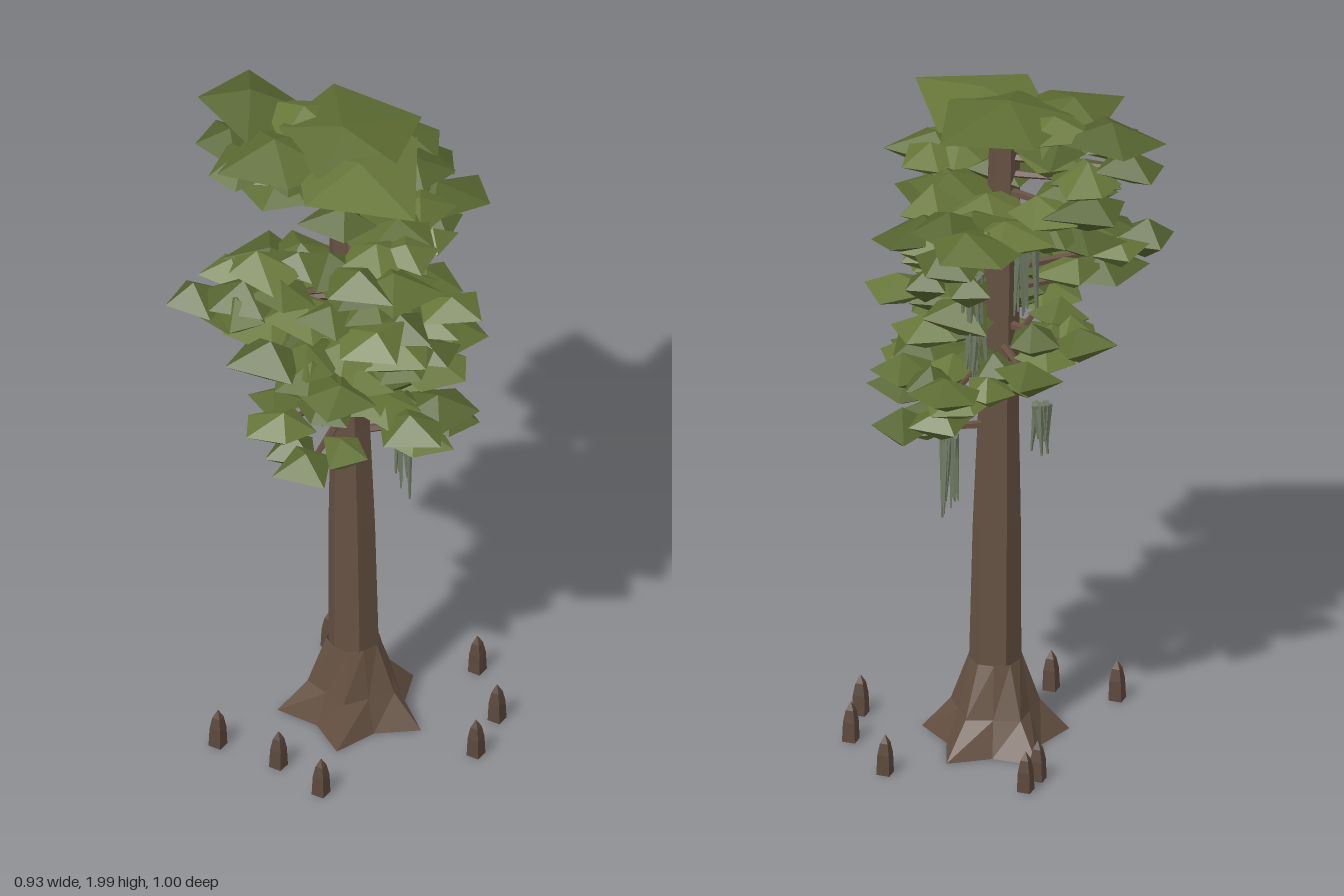
import * as THREE from 'three';

const mat = (color, extra = {}) => new THREE.MeshStandardMaterial({ color, flatShading: true, roughness: 1, ...extra });
const V = (x, y, z) => new THREE.Vector3(x, y, z);

// small seeded generator for leaf and moss irregularity
function seeded(seed) {
  let s = seed;
  return () => ((s = (s * 16807) % 2147483647) / 2147483647);
}

function meshData(pos, idx) {
  const g = new THREE.BufferGeometry();
  g.setAttribute('position', new THREE.Float32BufferAttribute(pos, 3));
  g.setIndex(idx);
  g.computeVertexNormals();
  return g;
}

// open skin over rings [centre x, y, centre z, radius, lobe depth]; alternate points form the buttress roots
function loft(rings, sides, turn) {
  const pos = [], idx = [];
  for (const [cx, y, cz, r, lobe] of rings)
    for (let i = 0; i < sides; i++) {
      const a = (i / sides) * Math.PI * 2 + turn;
      const rr = r * (i % 2 ? 1 - lobe : 1);
      pos.push(cx + Math.sin(a) * rr, y, cz + Math.cos(a) * rr);
    }
  for (let k = 0; k < rings.length - 1; k++)
    for (let i = 0; i < sides; i++) {
      const a = k * sides + i, b = k * sides + (i + 1) % sides;
      idx.push(a, b, b + sides, a, b + sides, a + sides);
    }
  return meshData(pos, idx);
}

// flattened, irregular bipyramid leaf pad
function padGeometry(r, rnd) {
  const n = rnd() > 0.45 ? 4 : 5, turn = rnd() * 6.28, h = 0.046 + rnd() * 0.014;
  const pos = [(rnd() - 0.5) * r * 0.3, h, (rnd() - 0.5) * r * 0.3, 0, -h, 0], idx = [];
  for (let i = 0; i < n; i++) {
    const a = turn + ((i + (rnd() - 0.5) * 0.4) / n) * Math.PI * 2, q = r * (0.9 + rnd() * 0.4);
    pos.push(Math.sin(a) * q, (rnd() - 0.5) * r * 0.18, Math.cos(a) * q);
    const u = 2 + i, v = 2 + (i + 1) % n;
    idx.push(0, u, v, 1, v, u);
  }
  return meshData(pos, idx);
}

// tapered rod between two points
function rod(a, b, r0, r1, sides, material) {
  const d = b.clone().sub(a);
  const m = new THREE.Mesh(new THREE.CylinderGeometry(r1, r0, d.length(), sides), material);
  m.position.copy(a).add(b).multiplyScalar(0.5);
  m.quaternion.setFromUnitVectors(V(0, 1, 0), d.normalize());
  return m;
}

export function createModel() {
  const model = new THREE.Group();
  const bark = mat(0x655142, { side: THREE.DoubleSide }), kneeBark = mat(0x5a473b);
  const leaf = [mat(0x5c6b32), mat(0x677639), mat(0x55632f)];
  const mossMat = mat(0x6f7963, { side: THREE.DoubleSide });
  const rnd = seeded(4217);
  const add = (mesh, name, parent = model) => { mesh.name = name; parent.add(mesh); return mesh; };

  // five-lobed root flare and six-sided trunk
  add(new THREE.Mesh(loft([
    [0.07, 0, -0.05, 0.215, 0.36], [0.068, 0.1, -0.047, 0.13, 0.2], [0.065, 0.25, -0.043, 0.076, 0.04],
  ], 10, Math.PI / 4), bark), 'rootFlare');
  add(new THREE.Mesh(loft([
    [0.065, 0.23, -0.043, 0.073, 0], [0.06, 0.66, -0.043, 0.067, 0], [0.056, 1.0, -0.045, 0.057, 0],
    [0.046, 1.45, -0.048, 0.049, 0], [0.039, 1.9, -0.052, 0.042, 0],
  ], 6, 0), bark), 'trunk');

  // upright root knees around the base
  const kneeShape = [[0, 0], [0.027, 0], [0.024, 0.06], [0.016, 0.095], [0, 0.12]].map(p => new THREE.Vector2(...p));
  const kneeGeo = new THREE.LatheGeometry(kneeShape, 4);
  const knees = add(new THREE.Group(), 'rootKnees');
  for (const [x, z] of [[0.44, 0.1], [0.345, 0.243], [0.44, -0.13], [0.13, -0.39],
    [0.07, -0.34], [-0.115, 0.315], [-0.34, 0.03], [-0.2, 0.165]])
    add(new THREE.Mesh(kneeGeo, kneeBark), 'rootKnee', knees).position.set(x, 0, z);

  // leaf pads per tier: [x, y, z, radius]
  const tiers = {
    crown: [[0.07, 1.935, -0.11, 0.19], [0.05, 1.91, 0.06, 0.2], [-0.17, 1.925, -0.33, 0.14], [-0.14, 1.91, -0.1, 0.14],
      [-0.02, 1.93, -0.22, 0.13]],
    shoulder: [[-0.23, 1.82, -0.31, 0.1], [-0.09, 1.83, -0.14, 0.12], [-0.12, 1.77, -0.22, 0.11], [-0.08, 1.72, -0.34, 0.12],
      [0.02, 1.72, -0.02, 0.11]],
    upper: [[0.0, 1.7, 0.25, 0.11], [0.12, 1.68, 0.28, 0.11], [0.28, 1.69, -0.36, 0.13], [0.2, 1.67, -0.2, 0.13],
      [0.34, 1.64, -0.33, 0.1], [0.34, 1.65, -0.15, 0.11], [0.12, 1.61, -0.1, 0.12], [0.16, 1.69, 0.02, 0.13]],
    middle: [[0.02, 1.58, 0.37, 0.105], [-0.2, 1.57, -0.05, 0.1], [0.05, 1.6, 0.23, 0.1], [0.35, 1.52, -0.2, 0.08],
      [-0.37, 1.47, -0.09, 0.09], [-0.26, 1.5, -0.03, 0.1], [-0.15, 1.53, -0.14, 0.11], [-0.1, 1.47, 0.06, 0.11]],
    lowerMiddle: [[-0.23, 1.4, 0.15, 0.12], [-0.24, 1.41, -0.1, 0.11], [-0.08, 1.41, 0.02, 0.12], [0.16, 1.41, 0.0, 0.12],
      [0.31, 1.4, 0.03, 0.1], [0.22, 1.37, -0.14, 0.11], [0.12, 1.38, 0.18, 0.11], [-0.12, 1.37, 0.2, 0.1]],
    low: [[-0.05, 1.29, 0.22, 0.11], [0.15, 1.3, 0.1, 0.11], [0.28, 1.3, -0.05, 0.1], [-0.06, 1.31, -0.33, 0.085],
      [0.1, 1.25, -0.35, 0.09], [-0.05, 1.27, -0.2, 0.11], [-0.2, 1.2, 0.2, 0.09], [0.02, 1.2, 0.12, 0.09],
      [0.17, 1.2, -0.08, 0.12], [0.36, 1.21, -0.09, 0.09], [0.34, 1.23, -0.32, 0.09], [0.08, 1.19, -0.23, 0.11],
      [0.27, 1.2, 0.03, 0.11]],
    bottom: [[-0.14, 1.08, 0.24, 0.085], [0.17, 1.11, 0.17, 0.1], [0.29, 1.08, 0.07, 0.1], [0.2, 1.08, -0.1, 0.1],
      [0.34, 0.995, -0.01, 0.09], [0.22, 1.02, -0.02, 0.1]],
  };
  let n = 0;
  for (const [name, pads] of Object.entries(tiers)) {
    const group = add(new THREE.Group(), name + 'Foliage');
    const pad = (x, y, z, r) =>
      add(new THREE.Mesh(padGeometry(r, rnd), leaf[n++ % 3]), 'leafPad', group).position.set(x, y, z);
    for (const [x, y, z, r] of pads) {
      pad(x, y, z, r);
      const dx = x - 0.05, dz = z + 0.045, reach = Math.hypot(dx, dz);
      if (reach < 0.2 || name === 'crown') continue;
      // branch and companion pads behind each outlying pad
      add(rod(V(0.05, y - 0.03, -0.045), V(x, y - 0.01, z), 0.014, 0.006, 5, bark), 'branch', group);
      const t = 1 - 0.1 / reach;
      for (const side of reach > 0.28 ? [-0.22, 0.22] : [0])
        pad(0.05 + dx * t - dz * side, y + (rnd() - 0.5) * 0.07, -0.045 + dz * t + dx * side, r * 0.9);
    }
  }

  // hanging moss clumps: [x, top y, z, length]
  for (const [x, y, z, len] of [[0.2, 0.97, -0.06, 0.27], [-0.02, 1.07, -0.18, 0.16], [0.12, 1.27, 0.06, 0.2],
    [0.02, 1.54, 0.14, 0.18], [0.2, 1.52, -0.2, 0.2], [0.01, 1.54, -0.13, 0.24], [0.18, 1.36, -0.2, 0.18]]) {
    const clump = add(new THREE.Group(), 'hangingMoss');
    for (let i = 0; i < 8; i++) {
      const px = x + (rnd() - 0.5) * 0.05, pz = z + (rnd() - 0.5) * 0.05, l = len * (0.6 + rnd() * 0.4);
      add(rod(V(px, y, pz), V(px + (rnd() - 0.5) * 0.03, y - l, pz + (rnd() - 0.5) * 0.03), 0.012, 0.003, 4, mossMat),
        'mossStrand', clump);
    }
  }
  return model;
}
